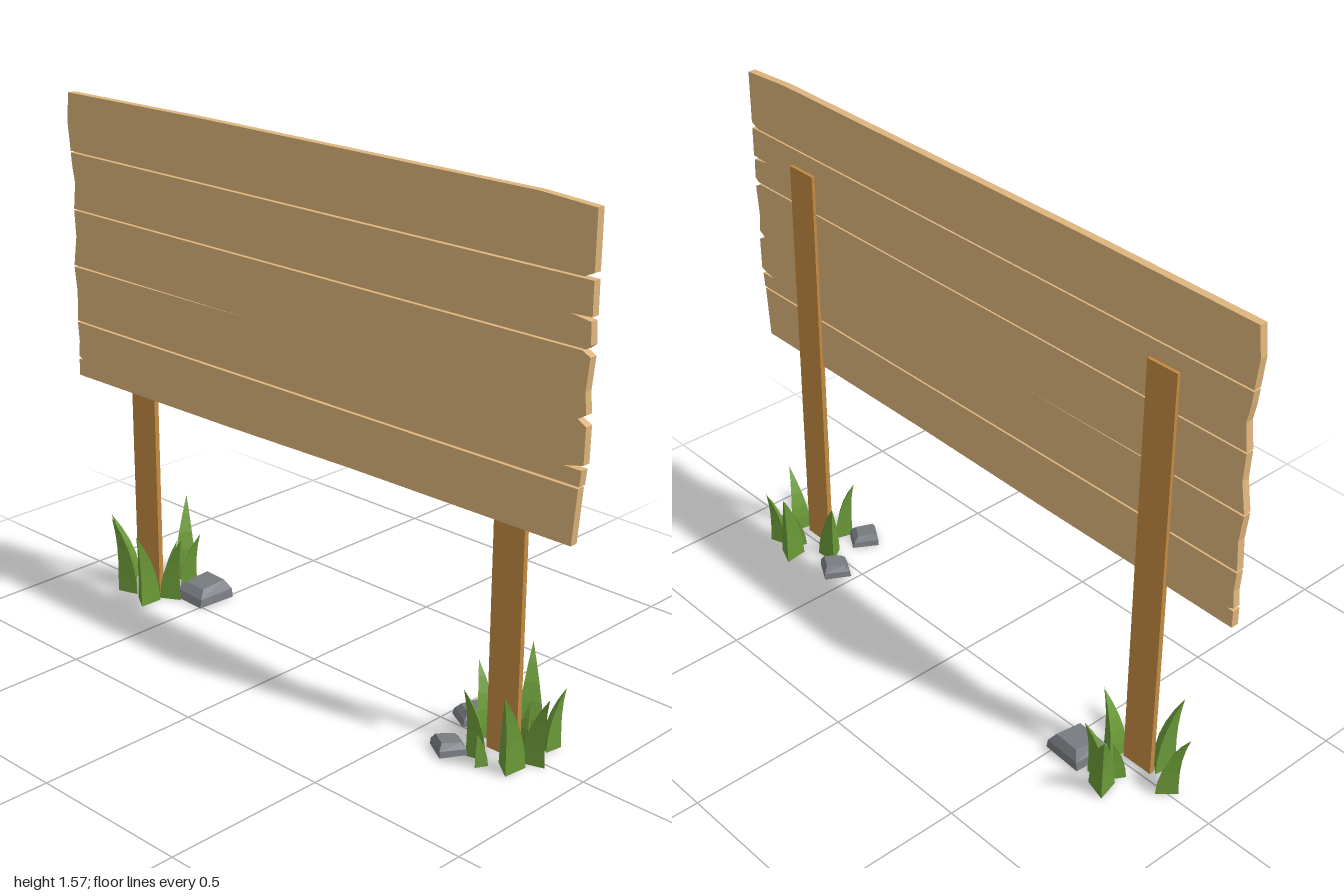
import * as THREE from 'three';

const mat = (color) => new THREE.MeshStandardMaterial({ color, flatShading: true });

// Plank outlines, counter-clockwise from bottom left, with ragged ends and cracks
const PLANKS = [
  [[-0.99, 0.667], [-0.3, 0.672], [0.2, 0.68], [0.963, 0.683], [0.97, 0.76], [0.977, 0.842],
    [-0.99, 0.842], [-0.985, 0.78], [-0.99, 0.73], [-0.97, 0.722], [-0.99, 0.72]],
  [[-0.99, 0.848], [0.98, 0.848], [0.985, 0.893], [0.93, 0.894], [0.99, 0.908], [0.992, 1.01],
    [0.965, 1.025], [-0.2, 1.025], [-0.995, 1.021], [-0.985, 0.94]],
  [[-0.995, 1.027], [-0.2, 1.025], [0.965, 1.025], [0.99, 1.04], [0.985, 1.1], [0.995, 1.19],
    [0.97, 1.203], [-0.985, 1.203], [-0.98, 1.12]],
  [[-0.985, 1.208], [0.98, 1.208], [0.995, 1.22], [0.992, 1.28], [0.93, 1.289], [0.995, 1.292],
    [0.995, 1.383], [-0.99, 1.383], [-0.985, 1.34], [-0.975, 1.29]],
  [[-0.99, 1.388], [0.965, 1.388], [0.995, 1.402], [0.996, 1.562], [0.82, 1.573], [-0.4, 1.573],
    [-0.99, 1.567], [-1, 1.48]],
];

// Blades: base x, base z, tip x, tip z, height, base radius
const LEFT_GRASS = [
  [0.705, -0.12, 0.77, -0.187, 0.25, 0.043], [0.7, -0.05, 0.7, -0.08, 0.14, 0.024],
  [0.655, -0.08, 0.62, -0.11, 0.18, 0.033], [0.83, 0.01, 0.89, 0.03, 0.21, 0.038],
  [0.755, 0.07, 0.79, 0.11, 0.25, 0.04], [0.655, 0.09, 0.62, 0.155, 0.25, 0.043],
  [0.625, 0.01, 0.575, 0.01, 0.21, 0.04],
].map(([x, z, tx, tz, h, r]) => [-x, z, -tx, tz, h, r]);
const RIGHT_GRASS = [
  [0.735, -0.105, 0.7, -0.15, 0.255, 0.043], [0.765, -0.045, 0.765, -0.07, 0.13, 0.022],
  [0.825, -0.08, 0.85, -0.11, 0.18, 0.031], [0.65, -0.01, 0.607, -0.03, 0.21, 0.04],
  [0.715, 0.09, 0.683, 0.12, 0.2, 0.035], [0.82, 0.085, 0.85, 0.155, 0.25, 0.043],
  [0.845, 0.01, 0.895, 0.02, 0.21, 0.04], [0.75, 0.125, 0.75, 0.14, 0.1, 0.022],
];

// Three-sided blade that tapers and bends outwards to its tip
function blade([x, z, tx, tz, h, r], material) {
  const dx = tx - x, dz = tz - z;
  const geo = new THREE.CylinderGeometry(1, 1, 1, 3, 5, false, Math.atan2(dx, dz));
  const p = geo.attributes.position;
  for (let i = 0; i < p.count; i++) {
    const t = p.getY(i) + 0.5;
    const w = r * (1 - t ** 1.6);
    const bend = t ** 2.2;
    p.setXYZ(i, x + dx * bend + p.getX(i) * w, h * t, z + dz * bend + p.getZ(i) * w);
  }
  geo.computeVertexNormals();
  const mesh = new THREE.Mesh(geo, material);
  mesh.name = 'grassBlade';
  return mesh;
}

// Blocky stone: a box whose top is shrunk, shifted and tilted
function rock(x, z, w, h, turn, material) {
  const geo = new THREE.BoxGeometry(w, h, w, 1, 2, 1);
  const p = geo.attributes.position;
  for (let i = 0; i < p.count; i++) {
    const t = p.getY(i) / h + 0.5;
    const s = [1, 0.93, 0.64][Math.round(t * 2)];
    const px = p.getX(i), pz = p.getZ(i);
    const y = t === 0 ? 0 : t * h * (0.92 - 0.16 * pz / w);
    p.setXYZ(i, px * s, y, pz * s - 0.06 * w * t);
  }
  geo.computeVertexNormals();
  const mesh = new THREE.Mesh(geo, material);
  mesh.name = 'rock';
  mesh.position.set(x, 0.003, z);
  mesh.rotation.y = turn;
  return mesh;
}

export function createModel() {
  const model = new THREE.Group();
  model.name = 'woodenSign';
  const plankMat = mat(0xdeb47c), postMat = mat(0xc48a42);
  const grassMat = mat(0x6b9a38), rockMat = mat(0x777b80);

  // Board of five planks
  const board = new THREE.Group();
  board.name = 'board';
  for (const outline of PLANKS) {
    const shape = new THREE.Shape(outline.map(([x, y]) => new THREE.Vector2(x, y)));
    const geo = new THREE.ExtrudeGeometry(shape, { depth: 0.024, bevelEnabled: false });
    const plank = new THREE.Mesh(geo, plankMat);
    plank.name = 'plank';
    plank.position.z = 0.031;
    board.add(plank);
  }
  model.add(board);

  // Posts behind the board
  for (const [name, x] of [['rightPost', -0.705], ['leftPost', 0.75]]) {
    const post = new THREE.Mesh(new THREE.BoxGeometry(0.104, 1.33, 0.016), postMat);
    post.name = name;
    post.position.set(x, 0.665, 0.029);
    model.add(post);
  }

  // Grass tufts around the posts
  for (const [name, blades] of [['rightGrass', LEFT_GRASS], ['leftGrass', RIGHT_GRASS]]) {
    const tuft = new THREE.Group();
    tuft.name = name;
    for (const b of blades) tuft.add(blade(b, grassMat));
    model.add(tuft);
  }

  // Stones on the ground
  model.add(
    rock(-0.552, -0.058, 0.132, 0.056, -0.06, rockMat),
    rock(0.57, -0.052, 0.085, 0.042, -0.5, rockMat),
    rock(0.64, 0.122, 0.085, 0.038, 2.6, rockMat),
  );
  return model;
}
